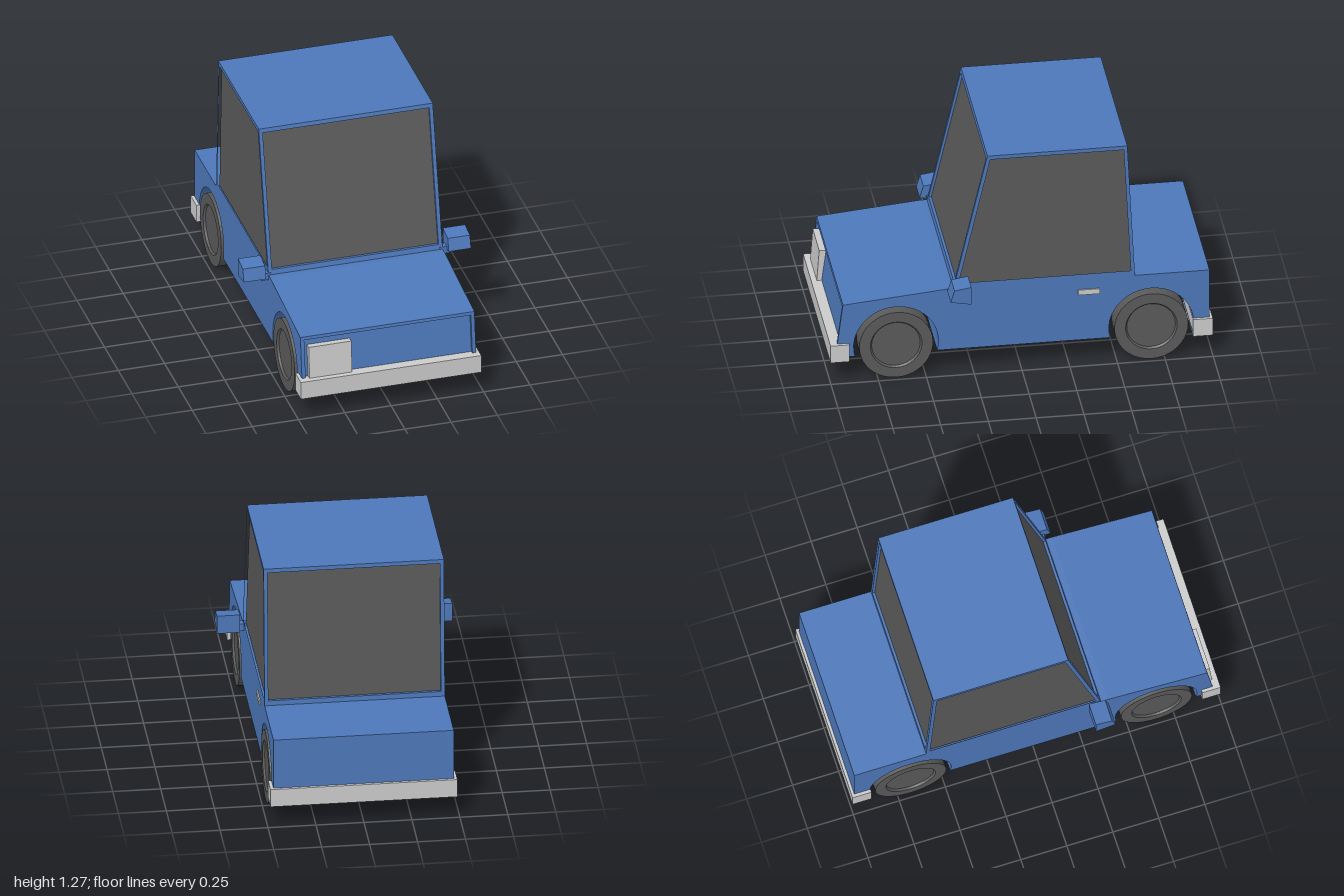
import * as THREE from 'three';

const paint = new THREE.MeshStandardMaterial({ color: 0x4d78ba, flatShading: true });
const dark = new THREE.MeshStandardMaterial({ color: 0x5a5a5a, flatShading: true });
const grey = new THREE.MeshStandardMaterial({ color: 0xcccccc, flatShading: true });

const HALF = 0.47;          // half width of the body
const FRONT_Z = 0.655, REAR_Z = -0.68, AXLE_Y = 0.193;

export function createModel() {
  const car = new THREE.Group();
  car.name = 'car';

  const add = (name, geometry, material) => {
    const mesh = new THREE.Mesh(geometry, material);
    mesh.name = name;
    car.add(mesh);
    return mesh;
  };

  // Side profile given as [z, y] points, extruded from x0 to x1
  const toPoints = (pts) => pts.map(([z, y]) => new THREE.Vector2(-z, y));
  const profile = (pts, x0, x1, hole) => {
    const shape = new THREE.Shape(toPoints(pts));
    if (hole) shape.holes.push(new THREE.Path(toPoints(hole)));
    return new THREE.ExtrudeGeometry(shape, { depth: x1 - x0, bevelEnabled: false })
      .rotateY(Math.PI / 2).translate(x0, 0, 0);
  };
  const box = (x0, x1, y0, y1, z0, z1) =>
    new THREE.BoxGeometry(x1 - x0, y1 - y0, z1 - z0)
      .translate((x0 + x1) / 2, (y0 + y1) / 2, (z0 + z1) / 2);

  // Lower body with wheel arches running through its full width
  const arch = (cz) => Array.from({ length: 25 }, (_, i) => {
    const t = -0.25 + (Math.PI + 0.5) * i / 24;
    return [cz + 0.222 * Math.cos(t), 0.195 + 0.222 * Math.sin(t)];
  });
  add('body', profile([
    [0.955, 0.14], ...arch(FRONT_Z), ...arch(REAR_Z),
    [-0.985, 0.14], [-0.985, 0.5], [0.39, 0.5], [0.915, 0.451],
  ], -HALF, HALF), paint);

  // Raised rim around the recessed nose panel
  add('noseTopRim', profile([[0.915, 0.451], [0.932, 0.449], [0.935, 0.432], [0.917, 0.432]],
    -HALF, HALF), paint);
  for (const s of [-1, 1]) {
    add('noseSideRim', profile([[0.917, 0.432], [0.935, 0.432], [0.972, 0.14], [0.955, 0.14]],
      s > 0 ? 0.45 : -HALF, s > 0 ? HALF : -0.45), paint);
  }

  // Cabin: front and rear faces slope between sill and roof
  const frontAt = (y) => 0.355 - (y - 0.5) * 0.178 / 0.775;
  const rearAt = (y) => -0.595 + (y - 0.5) * 0.04 / 0.775;
  const slab = (y0, y1, inset) => [
    [frontAt(y0) - inset, y0], [frontAt(y1) - inset, y1],
    [rearAt(y1) + inset, y1], [rearAt(y0) + inset, y0],
  ];
  add('windows', profile(slab(0.51, 1.265, 0.014), -0.456, 0.456), dark);
  add('roof', profile(slab(1.253, 1.275, 0), -0.45, 0.45), paint);
  add('windowSill', profile(slab(0.5, 0.527, 0), -0.45, 0.45), paint);
  for (const s of [-1, 1]) {
    add('sideWindowFrame', profile(slab(0.5, 1.275, 0),
      s > 0 ? 0.45 : -HALF, s > 0 ? HALF : -0.45, slab(0.53, 1.253, 0.02)), paint);
  }

  // Bumpers, headlight and door handle
  add('frontBumper', box(-0.487, 0.487, 0.12, 0.22, 0.9, 1), grey);
  add('rearBumper', box(-0.487, 0.487, 0.12, 0.22, -1, -0.897), grey);
  add('headlight', profile([[0.91, 0.395], [0.958, 0.398], [0.972, 0.2], [0.91, 0.2]],
    -0.432, -0.202), grey);
  add('doorHandle', box(0.46, 0.477, 0.41, 0.44, -0.41, -0.298), grey);

  // Door mirrors on short stems
  for (const s of [-1, 1]) {
    const span = (a, b) => (s > 0 ? [a, b] : [-b, -a]);
    add('mirror', profile([[0.282, 0.48], [0.282, 0.582], [0.37, 0.568], [0.39, 0.5]],
      ...span(0.493, 0.613)), paint);
    add('mirrorStem', box(...span(0.455, 0.51), 0.472, 0.512, 0.315, 0.355), paint);
  }

  // Wheels: closed lathe with a shallow hub recess on the outer face
  const wheelProfile = [[0, -0.053], [0.193, -0.053], [0.193, 0.053], [0.135, 0.053],
    [0.127, 0.042], [0, 0.042]].map(([r, h]) => new THREE.Vector2(r, h));
  const wheel = new THREE.LatheGeometry(wheelProfile, 40);
  for (const s of [-1, 1]) {
    for (const z of [FRONT_Z, REAR_Z]) {
      const mesh = add(z > 0 ? 'frontWheel' : 'rearWheel', wheel, dark);
      mesh.rotation.z = -s * Math.PI / 2;
      mesh.position.set(s * 0.422, AXLE_Y, z);
    }
  }

  return car;
}
